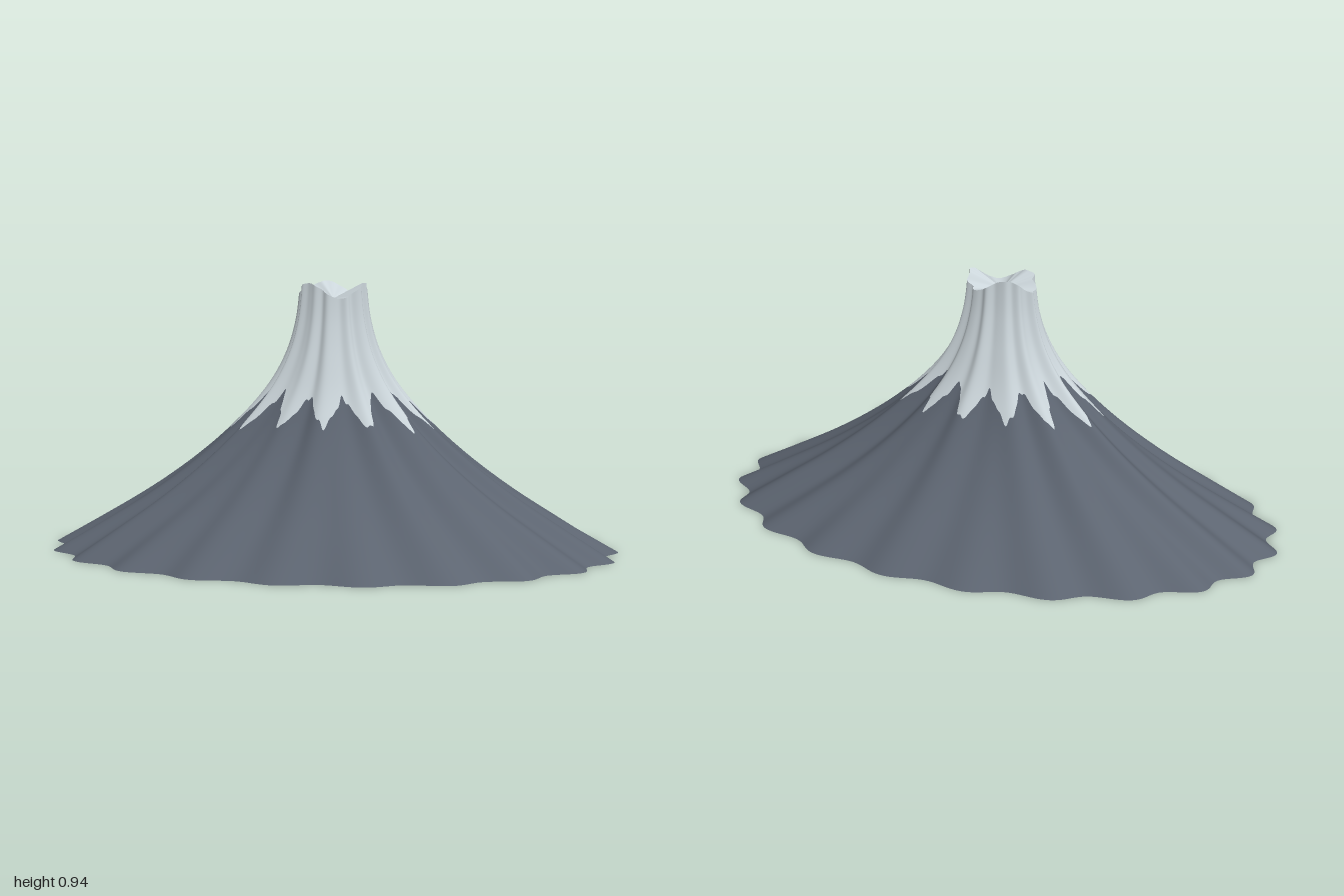
import * as THREE from 'three';

const SEG = 420;
const deg = Math.PI / 180;
const wave = (n, a, phase) => Math.cos(n * (a - phase * deg));

// Mean radius against height, one point every 0.1 from y = -0.1 to y = 1
const profile = new THREE.SplineCurve(
  [1.14, 0.975, 0.81, 0.65, 0.51, 0.39, 0.29, 0.212, 0.16, 0.13, 0.116, 0.112]
    .map((r, i) => new THREE.Vector2(r, i / 10 - 0.1)));

const rimHeight = (a) => 0.916 + 0.025 * wave(3, a, 15);

// Zigzag snow line with thirteen tongues, deeper on the long ends
function snowHeight(a) {
  const zigzag = Math.asin(0.97 * wave(13, a, 10)) / (Math.PI / 2);
  const ragged = 0.006 * wave(47, a, 4) + 0.005 * wave(71, a, 9);
  return 0.512 - (0.075 + 0.02 * Math.cos(2 * a)) * zigzag + ragged;
}

// Elliptical cone with gullies: 21 at the foot, 13 higher up
function slopePoint(a, y) {
  const t = Math.min(1, y / 0.5);
  const foot = 0.025 * (1 - 0.5 * t) * wave(21, a, 13);
  const upper = 0.045 * t * wave(13, a, 10) + 0.02 * t * wave(7, a, 40);
  const r = profile.getPoint((y + 0.1) / 1.1).x * (1 + foot + upper);
  const depth = 0.53 + 0.06 * Math.exp(-(((y - 0.7) / 0.15) ** 2)) + 0.02 * t * t;
  return [r * Math.cos(a), y, r * Math.sin(a) * depth];
}

// Closed rings of points joined into a surface; pointAt(angle, ring)
function ringSurface(rings, pointAt) {
  const pos = [], index = [];
  for (let i = 0; i <= rings; i++)
    for (let j = 0; j < SEG; j++) pos.push(...pointAt(j / SEG * Math.PI * 2, i));
  for (let i = 0; i < rings; i++)
    for (let j = 0; j < SEG; j++) {
      const a = i * SEG + j, b = i * SEG + (j + 1) % SEG;
      index.push(a, a + SEG, b, b, a + SEG, b + SEG);
    }
  const g = new THREE.BufferGeometry();
  g.setAttribute('position', new THREE.Float32BufferAttribute(pos, 3));
  g.setIndex(index);
  g.computeVertexNormals();
  return g;
}

export function createModel() {
  const make = (name, color) => {
    const m = new THREE.MeshStandardMaterial({ color });
    m.name = name;
    return m;
  };
  const rock = make('slate rock', 0x5c6470);
  const snow = make('snow', 0xcbd5da);
  const under = make('dark underside', 0x2a2a2a);

  const group = new THREE.Group();
  group.name = 'mountain';
  const add = (name, geometry, material) => {
    const mesh = new THREE.Mesh(geometry, material);
    mesh.name = name;
    group.add(mesh);
  };

  // Slopes: rows below the snow line are rock, rows above are snow
  const low = 40, high = 40;
  const slopes = ringSurface(low + high, (a, i) => {
    const line = snowHeight(a);
    const y = i <= low ? line * i / low
      : line + (rimHeight(a) - line) * (i - low) / high;
    return slopePoint(a, y);
  });
  slopes.addGroup(0, low * SEG * 6, 0);
  slopes.addGroup(low * SEG * 6, high * SEG * 6, 1);
  add('slopes', slopes, [rock, snow]);

  // Shallow crater bowl closing the rim
  add('crater', ringSurface(10, (a, i) => {
    const k = Math.max(1 - i / 10, 0.001);
    const [x, y, z] = slopePoint(a, rimHeight(a));
    return [x * k, 0.885 + (y - 0.885) * k, z * k];
  }), snow);

  // Flat underside
  add('underside', ringSurface(1, (a, i) => {
    const [x, , z] = slopePoint(a, 0);
    const k = i ? 1 : 0.001;
    return [x * k, 0, z * k];
  }), under);

  return group;
}
